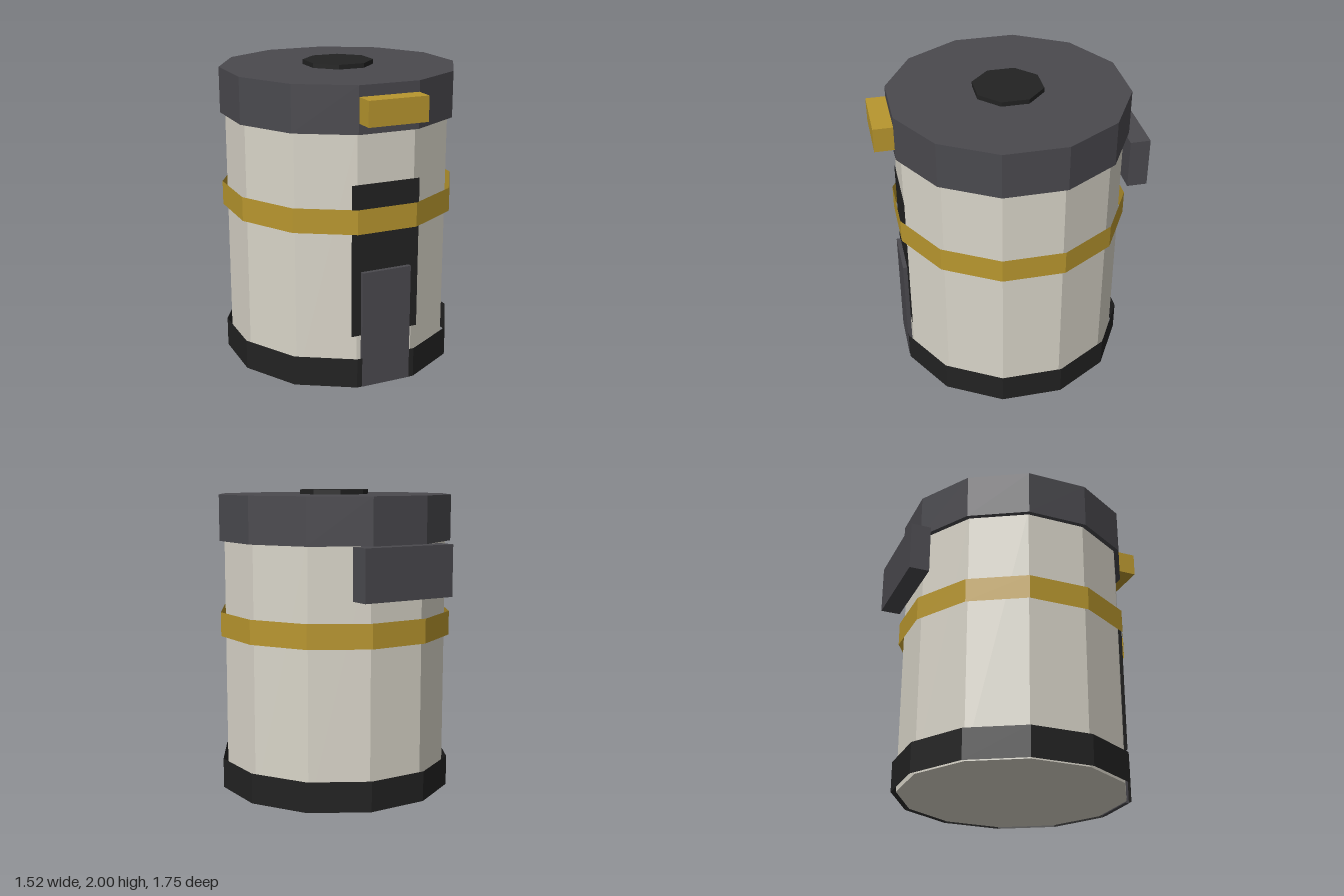
import * as THREE from 'three';

const material = (name, color, extra = {}) => {
  const m = new THREE.MeshStandardMaterial({ color, flatShading: true, ...extra });
  m.name = name;
  return m;
};

export function createModel() {
  const group = new THREE.Group();
  group.name = 'canister';
  const cream = material('cream', 0xd8d4c8);
  const charcoal = material('charcoal', 0x4a494e);
  const black = material('black', 0x222222, { side: THREE.DoubleSide });
  const gold = material('gold', 0xb8962e, { side: THREE.DoubleSide });
  const axisZ = -0.012;

  // Prism with a flat side facing front; apothem is centre to flat
  const prism = (name, mat, apothem, y0, y1, sides = 12, open = false) => {
    const r = apothem / Math.cos(Math.PI / sides);
    const geo = new THREE.CylinderGeometry(r, r, y1 - y0, sides, 1, open);
    geo.rotateY(Math.PI / sides);
    const mesh = new THREE.Mesh(geo, mat);
    mesh.name = name;
    mesh.position.set(0, (y0 + y1) / 2, axisZ);
    group.add(mesh);
  };

  // Box given by its half width and its y and z limits
  const box = (name, mat, halfW, y0, y1, z0, z1) => {
    const mesh = new THREE.Mesh(new THREE.BoxGeometry(halfW * 2, y1 - y0, z1 - z0), mat);
    mesh.name = name;
    mesh.position.set(0, (y0 + y1) / 2, (z0 + z1) / 2);
    group.add(mesh);
  };

  // Body, with open bands standing slightly off its wall
  prism('body', cream, 0.726, 0.003, 1.7);
  prism('baseBand', black, 0.758, 0, 0.2, 12, true);
  prism('middleBand', gold, 0.758, 1.04, 1.2, 12, true);

  // Lid and knob
  prism('lid', charcoal, 0.758, 1.67, 1.97);
  prism('lidKnob', black, 0.215, 1.95, 2, 8);

  // Latch at the front, hinge block at the back
  box('latch', gold, 0.2, 1.74, 1.9, 0.73, 0.873);
  box('hinge', charcoal, 0.33, 1.34, 1.67, -0.873, -0.74);

  // Front panel and the strip over it
  box('frontPanel', black, 0.232, 0.35, 1.35, 0.716, 0.72);
  box('frontStrip', charcoal, 0.168, 0, 0.783, 0.721, 0.749);

  return group;
}
